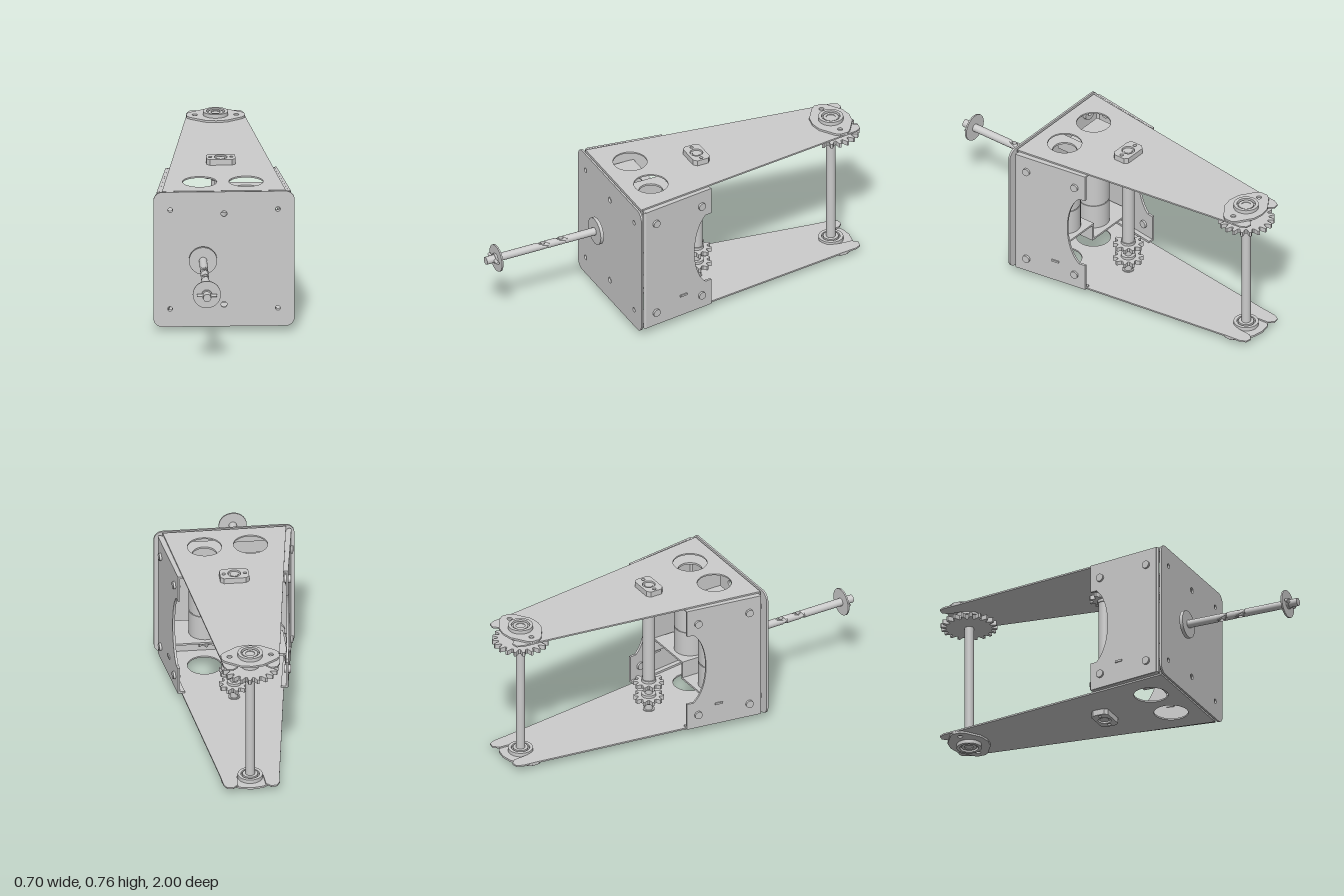
import * as THREE from 'three';

const MID = 0.379; // mirror height between upper and lower plates

export function createModel() {
  const root = new THREE.Group();
  const mat = new THREE.MeshStandardMaterial({ color: 0xcccccc });

  const add = (name, geo, parent = root) => {
    const m = new THREE.Mesh(geo, mat);
    m.name = name;
    parent.add(m);
    return m;
  };
  const poly = (pts) => new THREE.Shape(pts.map(([x, y]) => new THREE.Vector2(x, y)));
  const hole = (shape, x, y, r) => {
    shape.holes.push(new THREE.Path().absarc(x, y, r, 0, Math.PI * 2, true));
    return shape;
  };
  const disc = (r, x = 0, y = 0) => new THREE.Shape().absarc(x, y, r, 0, Math.PI * 2, false);
  const extrude = (shape, depth) =>
    new THREE.ExtrudeGeometry(shape, { depth, bevelEnabled: false, curveSegments: 20 });
  // Horizontal slab from a plan drawn as (x, -z)
  const slab = (name, shape, y0, y1, x = 0, z = 0) =>
    add(name, extrude(shape, y1 - y0).rotateX(-Math.PI / 2).translate(x, y0, z));
  // The same slab at the top and mirrored at the bottom
  const slabPair = (name, shape, y0, y1, x = 0, z = 0) => {
    slab(name, shape, y0, y1, x, z);
    slab(name, shape, 2 * MID - y1, 2 * MID - y0, x, z);
  };
  const rod = (name, r, y0, y1, x, z) =>
    add(name, new THREE.CylinderGeometry(r, r, y1 - y0, 28).translate(x, (y0 + y1) / 2, z));
  const rodZ = (name, r, z0, z1, x, y) =>
    add(name, new THREE.CylinderGeometry(r, r, z1 - z0, 28).rotateX(Math.PI / 2).translate(x, y, (z0 + z1) / 2));
  const sprocket = (name, teeth, rOut, rIn, y, x, z, h = 0.022) => {
    const pts = [];
    for (let i = 0; i < teeth; i++) {
      [[0, rIn], [0.25, rIn], [0.5, rOut], [0.75, rOut]].forEach(([f, r]) => {
        const a = ((i + f) / teeth) * Math.PI * 2;
        pts.push([Math.cos(a) * r, Math.sin(a) * r]);
      });
    }
    slab(name, poly(pts), y - h / 2, y + h / 2, x, z);
  };

  // Tapered upper and lower plates, forked at the back end
  const plate = poly([
    [-0.307, -0.345], [0.307, -0.345], [0.148, 0.85], [0.14, 0.93], [0.125, 0.96], [0.095, 0.965], [0.07, 0.94],
    [0.065, 0.86], [0.046, 0.815], [0, 0.795], [-0.046, 0.815], [-0.065, 0.86],
    [-0.07, 0.94], [-0.095, 0.965], [-0.125, 0.96], [-0.14, 0.93], [-0.148, 0.85]]);
  hole(plate, -0.115, -0.195, 0.085);
  hole(plate, 0.115, -0.195, 0.085);
  slabPair('taperedPlate', plate, 0.72, 0.728);
  for (const y of [0.69, 2 * MID - 0.69])
    add('plateFrontLip', new THREE.BoxGeometry(0.614, 0.07, 0.008).translate(0, y, 0.341));

  // Side walls with a curved cut-out, bolts and slot tabs
  const len = 0.394;
  const wall = poly([[0, 0.04], [len, 0.04], [len, 0.72], [0, 0.72]].slice(0, 3));
  wall.lineTo(0, 0.72);
  wall.lineTo(0, 0.575);
  wall.lineTo(0.035, 0.575);
  wall.bezierCurveTo(0.125, 0.5, 0.125, 0.26, 0.035, 0.185);
  wall.lineTo(0, 0.185);
  for (const s of [1, -1]) {
    const g = new THREE.Group();
    g.name = s > 0 ? 'leftWall' : 'rightWall';
    g.position.set(s * 0.269, 0, -0.06);
    g.rotation.y = -Math.PI / 2 + s * Math.atan(0.148);
    add('wallPanel', extrude(wall, 0.012).translate(0, 0, -0.006), g);
    for (const u of [0.06, 0.335])
      for (const y of [0.113, 0.637])
        add('wallBolt', new THREE.CylinderGeometry(0.02, 0.02, 0.034, 16).rotateX(Math.PI / 2).translate(u, y, 0), g);
    add('slotTab', new THREE.BoxGeometry(0.04, 0.01, 0.024).translate(0.17, 0.155, 0), g);
    // bent strips joining the wall to the plates and to the front
    for (const y of [0.714, 0.044])
      add('wallLip', new THREE.BoxGeometry(len, 0.01, 0.03).translate(len / 2, y, s * 0.015), g);
    add('wallFrontBend', new THREE.CylinderGeometry(0.01, 0.01, 0.68, 12).translate(len - 0.002, MID, s * 0.004), g);
    root.add(g);
    // THREE maps local x to (cos, 0, -sin), so the panel runs forward and outward
  }

  // Square front plate with rounded corners and mounting holes
  const a = 0.35, r = 0.045;
  const face = new THREE.Shape();
  [[a - r, a - r], [r - a, a - r], [r - a, r - a], [a - r, r - a]].forEach(([x, y], i) =>
    face.absarc(x, y, r, (i * Math.PI) / 2, ((i + 1) * Math.PI) / 2, false));
  for (const y of [0.257, -0.257])
    for (const x of [0.267, -0.267]) {
      hole(face, x, y, 0.012);
      add('spacer', extrude(hole(disc(0.035), 0, 0, 0.012), 0.018).translate(x, y + MID, 0.337));
    }
  for (const y of [0.236, -0.236]) hole(face, 0, y, 0.015);
  add('frontPlate', extrude(face, 0.01).translate(0, MID, 0.355));

  // Front shaft, with two vertical cross holes
  const sx = -0.105, sr = 0.02, pieceLen = 0.06;
  add('shaftBearing', extrude(disc(0.1), 0.022).translate(sx, 0.38, 0.333));
  rodZ('frontShaft', sr, 0.345, 0.555, sx, 0.38);
  rodZ('frontShaft', sr, 0.615, 0.655, sx, 0.38);
  rodZ('frontShaft', sr, 0.715, 1, sx, 0.38);
  for (const z of [0.585, 0.685]) {
    const ends = [];
    for (let i = 0; i <= 12; i++) ends.push(-sr * Math.cos((i / 12) * Math.PI));
    const strip = poly([
      ...ends.map((x) => [x, -pieceLen / 2]), ...ends.map((x) => [-x, pieceLen / 2])]);
    const geo = extrude(hole(strip, 0, 0, 0.013), 1).rotateX(-Math.PI / 2);
    // bend the flat faces onto the round shaft
    const p = geo.attributes.position;
    for (let i = 0; i < p.count; i++) {
      const h = Math.sqrt(Math.max(0, sr * sr - p.getX(i) ** 2));
      p.setY(i, p.getY(i) > 0.5 ? h : -h);
    }
    geo.computeVertexNormals();
    add('drilledShaftPiece', geo.translate(sx, 0.38, z));
  }
  rodZ('innerDisc', 0.07, 0.38, 0.397, sx, 0.38);
  rodZ('outerDisc', 0.07, 0.936, 0.944, sx, 0.38);
  rodZ('shaftCollar', 0.026, 0.944, 0.954, sx, 0.38);
  add('crossPin', new THREE.CylinderGeometry(0.008, 0.008, 0.1, 14).rotateZ(Math.PI / 2).translate(sx, 0.38, 0.956));

  // Middle shaft with end blocks and chain sprockets
  const mz = -0.115;
  rod('middleShaft', 0.031, 0.19, 0.66, 0, mz);
  rod('middleShaftCore', 0.02, 0.006, 0.752, 0, mz);
  const block = poly([
    [-0.072, -0.03], [-0.055, -0.046], [0.055, -0.046], [0.072, -0.03],
    [0.072, 0.03], [0.055, 0.046], [-0.055, 0.046], [-0.072, 0.03]]);
  hole(block, 0, 0, 0.032);
  hole(block, -0.053, 0, 0.009);
  hole(block, 0.053, 0, 0.009);
  slabPair('endBlock', block, 0.728, 0.757, 0, mz);
  slabPair('endBlockBush', hole(disc(0.029), 0, 0, 0.021), 0.715, 0.75, 0, mz);
  for (const y of [0.663, 0.19, 0.107]) {
    sprocket('middleSprocket', 10, 0.076, 0.055, y, 0, mz);
    rod('middleSprocketHub', 0.036, y - 0.025, y + 0.025, 0, mz);
  }

  // Rear shaft with flanged bearings and large sprocket
  const rz = -0.86;
  rod('rearShaft', 0.023, 0.01, 0.748, 0, rz);
  const flange = poly([
    [-0.145, -0.02], [-0.128, -0.042], [-0.055, -0.092], [0, -0.102], [0.055, -0.092], [0.128, -0.042], [0.145, -0.02],
    [0.145, 0.02], [0.128, 0.042], [0.055, 0.092], [0, 0.102], [-0.055, 0.092], [-0.128, 0.042], [-0.145, 0.02]]);
  hole(flange, 0, 0, 0.05);
  hole(flange, -0.103, 0, 0.013);
  hole(flange, 0.103, 0, 0.013);
  slabPair('bearingFlange', flange, 0.728, 0.738, 0, rz);
  slabPair('bearingHousing', hole(disc(0.062), 0, 0, 0.046), 0.708, 0.757, 0, rz);
  slabPair('bearingRing', hole(disc(0.038), 0, 0, 0.023), 0.706, 0.752, 0, rz);
  slabPair('bearingSeal', disc(0.05), 0.722, 0.742, 0, rz);
  sprocket('rearSprocket', 20, 0.141, 0.113, 0.667, 0, rz, 0.024);
  rod('rearSprocketHub', 0.045, 0.67, 0.7, 0, rz);

  // Two upright motors at staggered heights, each driving a small sprocket
  for (const [x, y] of [[0.115, 0.235], [-0.115, 0.145]]) {
    const z = 0.195;
    rod('gearbox', 0.08, y, y + 0.13, x, z);
    rod('motorSeam', 0.076, y + 0.13, y + 0.136, x, z);
    rod('motorBody', 0.08, y + 0.136, y + 0.36, x, z);
    rod('motorCap', 0.055, y + 0.36, y + 0.39, x, z);
    rod('motorOutput', 0.02, y - 0.06, y, x, z);
    sprocket('motorSprocket', 10, 0.066, 0.048, y - 0.042, x, z);
  }

  // Stepped sheet brackets carrying the motors
  const bracket = (name, yHigh, yLow, open) => {
    const t = 0.01, zc = 0.2, d = 0.22;
    for (const [x0, x1, y] of [[0.02, 0.285, yHigh], [-0.285, 0.02, yLow]]) {
      const s = poly([[x0, -zc - d / 2], [x1, -zc - d / 2], [x1, -zc + d / 2], [x0, -zc + d / 2]]);
      if (open) hole(s, x0 > 0 ? 0.115 : -0.115, -0.195, 0.06);
      slab(name, s, y - t, y);
    }
    add(name + 'Step', new THREE.BoxGeometry(t, yHigh - yLow + t, d).translate(0.02, (yHigh + yLow - t) / 2, zc));
    for (const [x, y] of [[0.283, yHigh], [-0.283, yLow]])
      add(name + 'EndTab', new THREE.BoxGeometry(t, 0.07, d).translate(x, y - 0.035, zc));
  };
  bracket('lowerBracket', 0.235, 0.145, false);
  bracket('upperBracket', 0.69, 0.61, true);

  return root;
}
